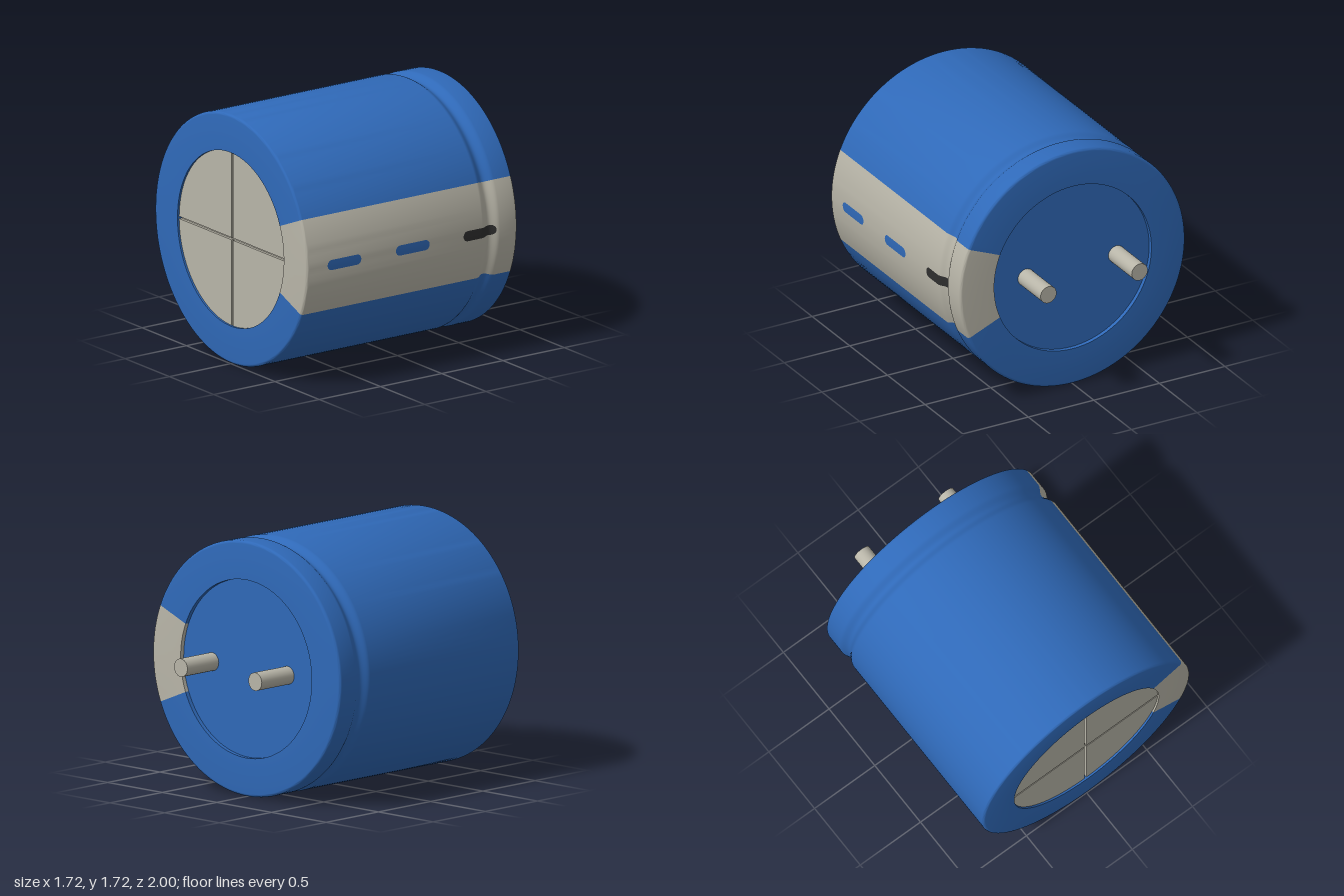
import * as THREE from 'three';
import { toCreasedNormals } from 'three/addons/utils/BufferGeometryUtils.js';

const R = 0.86, INNER = 0.6, FRONT = 1, BACK = -0.72, EDGE = 0.02;
const GROOVE_Z = -0.503, GROOVE_HALF = 0.072, GROOVE_DEPTH = 0.031;
const STRIPE = Math.PI / 4;

// Outer radius of the can at a given depth, including the crimp groove
function radiusAt(z) {
  const t = (z - GROOVE_Z) / GROOVE_HALF;
  return Math.abs(t) >= 1 ? R : R - GROOVE_DEPTH * (0.5 + 0.5 * Math.cos(Math.PI * t));
}

// Sleeve profile from the back recess, round the outside, to the front recess
function sleeveProfile() {
  const pts = [new THREE.Vector2(INNER, BACK + 0.035), new THREE.Vector2(INNER, BACK)];
  for (let i = 0; i <= 5; i++) {
    const a = (i / 5) * Math.PI / 2;
    pts.push(new THREE.Vector2(R - EDGE + EDGE * Math.sin(a), BACK + EDGE - EDGE * Math.cos(a)));
  }
  for (let i = 0; i <= 14; i++) {
    const z = GROOVE_Z + GROOVE_HALF * (i / 7 - 1);
    pts.push(new THREE.Vector2(radiusAt(z), z));
  }
  for (let i = 0; i <= 5; i++) {
    const a = (i / 5) * Math.PI / 2;
    pts.push(new THREE.Vector2(R - EDGE + EDGE * Math.cos(a), FRONT - EDGE + EDGE * Math.sin(a)));
  }
  pts.push(new THREE.Vector2(INNER, FRONT), new THREE.Vector2(INNER, FRONT - 0.04));
  return pts;
}

// Part of the sleeve between two angles, with its axis along z
function sleeve(segments, start, length) {
  const geo = new THREE.LatheGeometry(sleeveProfile(), segments, start, length);
  return toCreasedNormals(geo.rotateX(Math.PI / 2), 0.7);
}

// Rounded dash that follows the sleeve surface
function dash(zMid, length, height) {
  const geo = new THREE.PlaneGeometry(2, 2, 40, 4);
  const p = geo.attributes.position;
  const h = height / 2, straight = length / 2 - h;
  for (let i = 0; i < p.count; i++) {
    const u = Math.sin(p.getX(i) * Math.PI / 2) * length / 2;
    const end = Math.max(0, Math.abs(u) - straight);
    const half = Math.sqrt(Math.max(0, h * h - end * end));
    const z = zMid - u;
    const a = p.getY(i) * half / R;
    const r = radiusAt(z) + 0.003;
    p.setXYZ(i, r * Math.cos(a), r * Math.sin(a), z);
  }
  geo.computeVertexNormals();
  return geo;
}

// Quarter of the vented front plate
function ventQuarter(gap) {
  const r = INNER, a = Math.asin(gap / r);
  const s = new THREE.Shape();
  s.moveTo(gap, gap);
  s.lineTo(r * Math.cos(a), gap);
  s.absarc(0, 0, r, a, Math.PI / 2 - a, false);
  s.closePath();
  return new THREE.ExtrudeGeometry(s, { depth: 0.02, bevelEnabled: false, curveSegments: 24 });
}

export function createModel() {
  const paint = (name, color) => {
    const m = new THREE.MeshStandardMaterial({ color });
    m.name = name;
    return m;
  };
  const blue = paint('blue', 0x2f69b8);
  const grey = paint('warmGrey', 0xb8b5a8);
  const black = paint('black', 0x2e2e2e);

  const model = new THREE.Group();
  model.name = 'capacitor';
  const add = (name, geo, mat, x = 0, y = 0, z = 0) => {
    const mesh = new THREE.Mesh(geo, mat);
    mesh.name = name;
    mesh.position.set(x, y, z);
    model.add(mesh);
    return mesh;
  };

  // Sleeve and its polarity stripe on the +x side
  const edge = Math.PI / 2 + STRIPE / 2;
  add('sleeve', sleeve(112, edge, Math.PI * 2 - STRIPE), blue);
  add('stripe', sleeve(16, edge - STRIPE, STRIPE), grey);

  // Dashes along the stripe
  [[0.695, blue], [0.137, blue], [-0.415, black]].forEach(([z, mat], i) =>
    add('dash' + (i + 1), dash(z, 0.275, 0.07), mat));

  // Front plate: four quarters over a floor, leaving a cross-shaped vent
  add('ventFloor', new THREE.CircleGeometry(INNER, 96), grey, 0, 0, 0.965);
  for (let i = 0; i < 4; i++) {
    add('ventQuarter' + (i + 1), ventQuarter(0.008), grey, 0, 0, 0.966).rotation.z = i * Math.PI / 2;
  }

  // Recessed back plate
  add('backPlate', new THREE.CircleGeometry(INNER, 96).rotateY(Math.PI), blue, 0, 0, BACK + 0.03);

  // Two terminal pins
  [[-0.35, -1], [0.34, -0.99]].forEach(([x, tip], i) => {
    const len = BACK + 0.04 - tip;
    const geo = new THREE.CylinderGeometry(0.061, 0.061, len, 32).rotateX(Math.PI / 2);
    add('pin' + (i + 1), geo, grey, x, 0, tip + len / 2);
  });

  model.children.forEach((part) => { part.position.y += 0.864; });
  return model;
}
